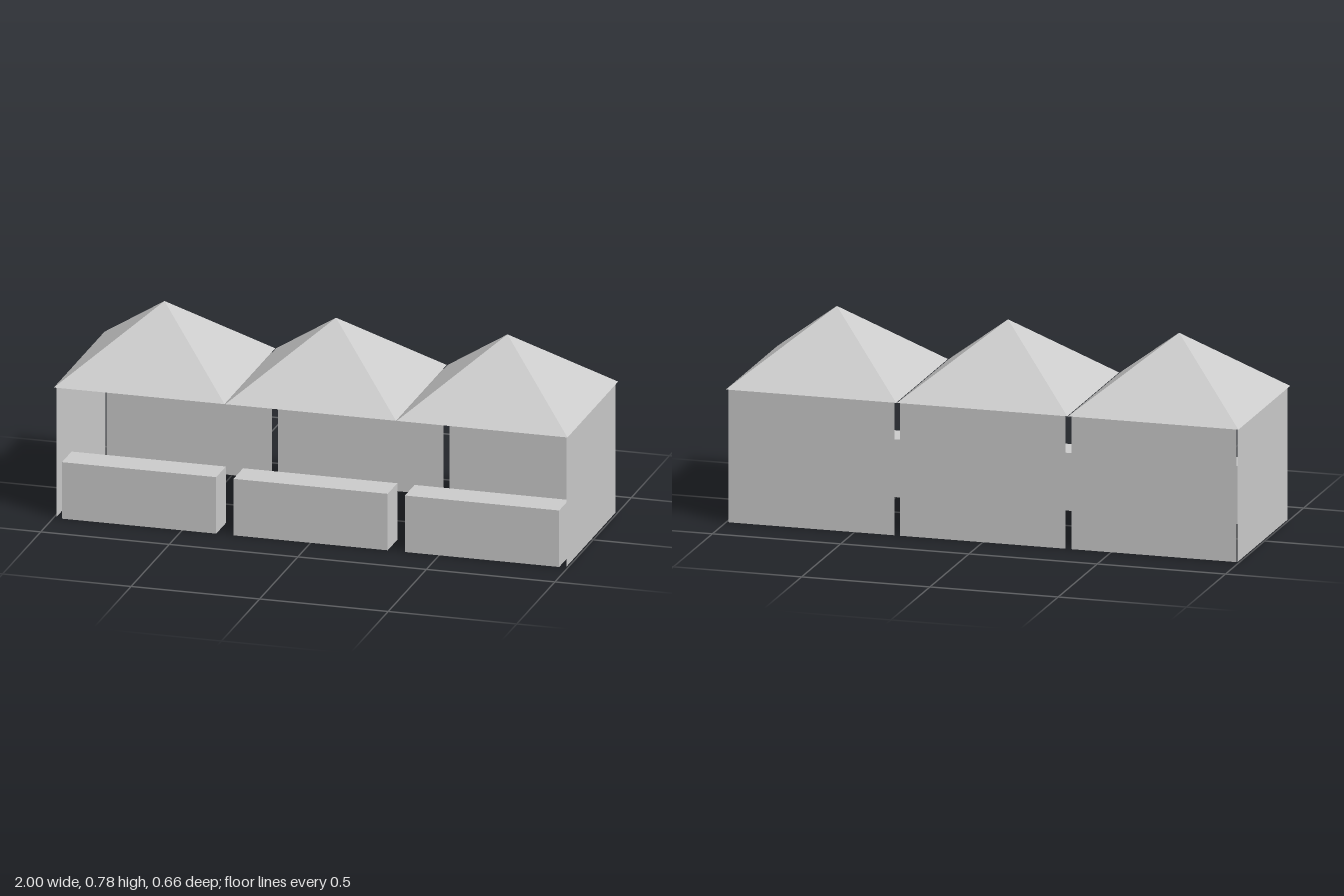
import * as THREE from 'three';

const PITCH = 0.667, EAVE = 0.514, PEAK = 0.778;

export function createModel() {
  const model = new THREE.Group();
  model.name = 'marketStalls';
  const canvas = new THREE.MeshStandardMaterial({ color: 0xcccccc, side: THREE.DoubleSide });
  canvas.name = 'lightGrey';

  const add = (name, geometry, x, y, z, turn = 0) => {
    const mesh = new THREE.Mesh(geometry, canvas);
    mesh.name = name;
    mesh.position.set(x, y, z);
    mesh.rotation.y = turn;
    model.add(mesh);
  };

  // Square pyramid roof, turned so its eaves follow x and z
  const roof = new THREE.ConeGeometry(0.332 * Math.SQRT2, PEAK - EAVE, 4, 1)
    .rotateY(Math.PI / 4).toNonIndexed();
  roof.computeVertexNormals();

  // Thin cloth wall
  const wall = new THREE.PlaneGeometry(0.644, EAVE);

  // Counter: a box without its underside (the fourth face of the box)
  const counter = new THREE.BoxGeometry(0.6, 0.223, 0.126);
  const faces = Array.from(counter.index.array);
  faces.splice(18, 6);
  counter.setIndex(faces);
  counter.clearGroups();

  // Three stalls in a row
  for (const i of [-1, 0, 1]) {
    const x = i * PITCH;
    add('roof', roof, x, (EAVE + PEAK) / 2, 0);
    add('backWall', wall, x, EAVE / 2, -0.323, Math.PI);
    add('counter', counter, x, 0.1115, 0.27);
  }

  // Walls closing both ends of the row
  for (const side of [-1, 1]) {
    add('endWall', wall, side * 0.992, EAVE / 2, 0, side * Math.PI / 2);
  }
  return model;
}
